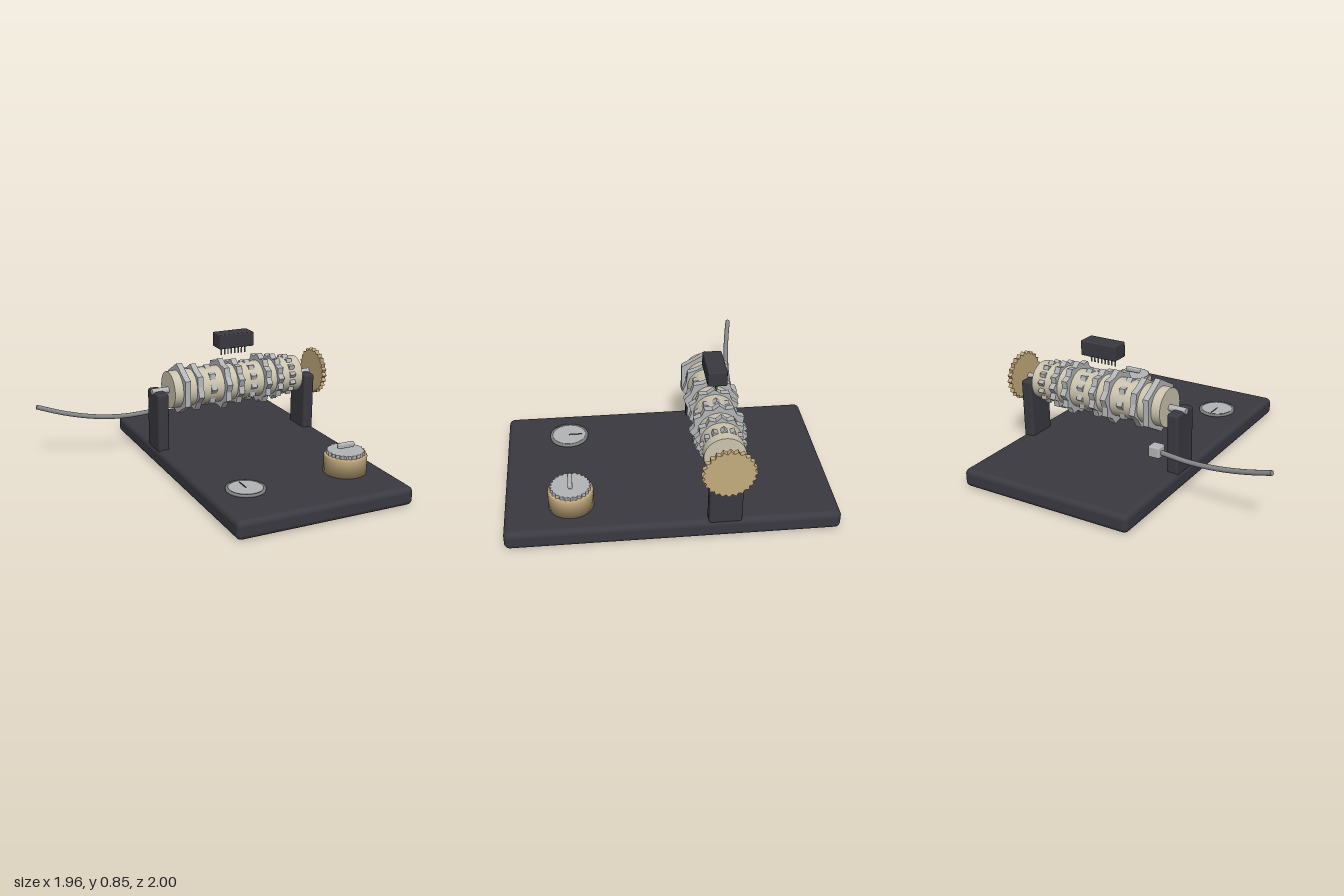
import * as THREE from 'three';
import { RoundedBoxGeometry } from 'three/addons/geometries/RoundedBoxGeometry.js';

const mat = (name, color) => {
  const m = new THREE.MeshStandardMaterial({ color });
  m.name = name;
  return m;
};

// Pointed-tooth wheel lying in the xy plane, one tooth up, centred in depth
function toothedWheel(teeth, outer, inner, depth) {
  const pts = [];
  for (let i = 0; i < teeth * 2; i++) {
    const a = Math.PI / 2 + (i * Math.PI) / teeth;
    const r = i % 2 ? inner : outer;
    pts.push(new THREE.Vector2(Math.cos(a) * r, Math.sin(a) * r));
  }
  const g = new THREE.ExtrudeGeometry(new THREE.Shape(pts), { depth, bevelEnabled: false });
  return g.translate(0, 0, -depth / 2);
}

export function createModel() {
  const model = new THREE.Group();
  const dark = mat('charcoal', 0x3b3941);
  const steel = mat('light steel', 0xb4b5b7);
  const cream = mat('cream', 0xcbc4ae);
  const brass = mat('brass', 0xc3ab7e);
  const grey = mat('mid grey', 0x858688);

  const add = (name, geo, material, x = 0, y = 0, z = 0) => {
    const m = new THREE.Mesh(geo, material);
    m.name = name;
    m.position.set(x, y, z);
    model.add(m);
    return m;
  };
  const axisY = 0.505, axisZ = -0.3, midX = 0.3225;

  // Base board and the two bearing posts
  add('base', new RoundedBoxGeometry(1.195, 0.12, 2, 4, 0.035), dark, midX, 0.06, 0);
  for (const side of [-1, 1]) {
    add('post', new RoundedBoxGeometry(0.078, 0.41, 0.2, 3, 0.018), dark, midX + side * 0.552, 0.303, axisZ);
  }

  // Axle and drum
  add('axle', new THREE.CylinderGeometry(0.021, 0.021, 1.195, 24).rotateZ(Math.PI / 2), steel, midX, axisY, axisZ);
  add('drum', new THREE.CylinderGeometry(0.125, 0.125, 0.96, 48).rotateZ(Math.PI / 2), cream, midX, axisY, axisZ);

  // Nine toothed wheels: three repeating radii, one more tooth each
  const radii = [0.175, 0.16, 0.143];
  for (let i = 0; i < 9; i++) {
    const r = radii[i % 3];
    const geo = toothedWheel(6 + i, r, r - 0.024, 0.04).rotateY(Math.PI / 2);
    add('toneWheel', geo, steel, -0.077 + i * 0.1, axisY, axisZ);
  }

  // Drive gear at the end of the axle
  add('driveGear', toothedWheel(24, 0.16, 0.142, 0.03).rotateY(Math.PI / 2), brass, 0.961, axisY, axisZ);

  // Pickup head with its row of pins
  add('pickupHead', new RoundedBoxGeometry(0.255, 0.098, 0.118, 2, 0.008), dark, midX, 0.804, axisZ);
  for (let i = 0; i < 8; i++) {
    add('pickupPin', new THREE.CylinderGeometry(0.005, 0.005, 0.06, 8), grey, midX + (i - 3.5) * 0.0255, 0.732, axisZ);
  }

  // Plug and cable
  add('plug', new RoundedBoxGeometry(0.078, 0.075, 0.075, 2, 0.012), steel, -0.178, 0.303, -0.498);
  const path = new THREE.CatmullRomCurve3([
    [-0.19, 0.298, -0.498], [-0.4, 0.288, -0.513], [-0.6, 0.305, -0.535],
    [-0.8, 0.348, -0.567], [-0.98, 0.405, -0.605],
  ].map((p) => new THREE.Vector3(...p)));
  add('cable', new THREE.TubeGeometry(path, 40, 0.016, 12), grey);
  const end = new THREE.CircleGeometry(0.016, 12);
  const cap = add('cableEnd', end, grey, -0.98, 0.405, -0.605);
  cap.lookAt(path.getPoint(1).add(path.getTangent(1)));

  // Rotary knob: brass body, toothed plate and pointer
  const knob = [[0, 0], [0.137, 0], [0.137, 0.113], [0.13, 0.122], [0, 0.122]];
  const body = new THREE.LatheGeometry(knob.map((p) => new THREE.Vector2(...p)), 48);
  add('knobBody', body, brass, 0.673, 0.118, 0.6);
  add('knobPlate', toothedWheel(24, 0.123, 0.111, 0.022).rotateX(-Math.PI / 2), steel, 0.673, 0.251, 0.6);
  add('knobPointer', new RoundedBoxGeometry(0.118, 0.035, 0.028, 3, 0.01), steel, 0.673, 0.293, 0.6);

  // Dial: rim, face and needle
  const rim = [[0.108, 0], [0.124, 0], [0.124, 0.014], [0.108, 0.018], [0.108, 0]];
  const ring = new THREE.LatheGeometry(rim.map((p) => new THREE.Vector2(...p)), 48);
  add('dialRim', ring, grey, -0.027, 0.118, 0.6);
  add('dialFace', new THREE.CylinderGeometry(0.11, 0.11, 0.012, 48), steel, -0.027, 0.126, 0.6);
  add('dialNeedle', new THREE.BoxGeometry(0.006, 0.004, 0.088), dark, -0.027, 0.134, 0.558);

  return model;
}
